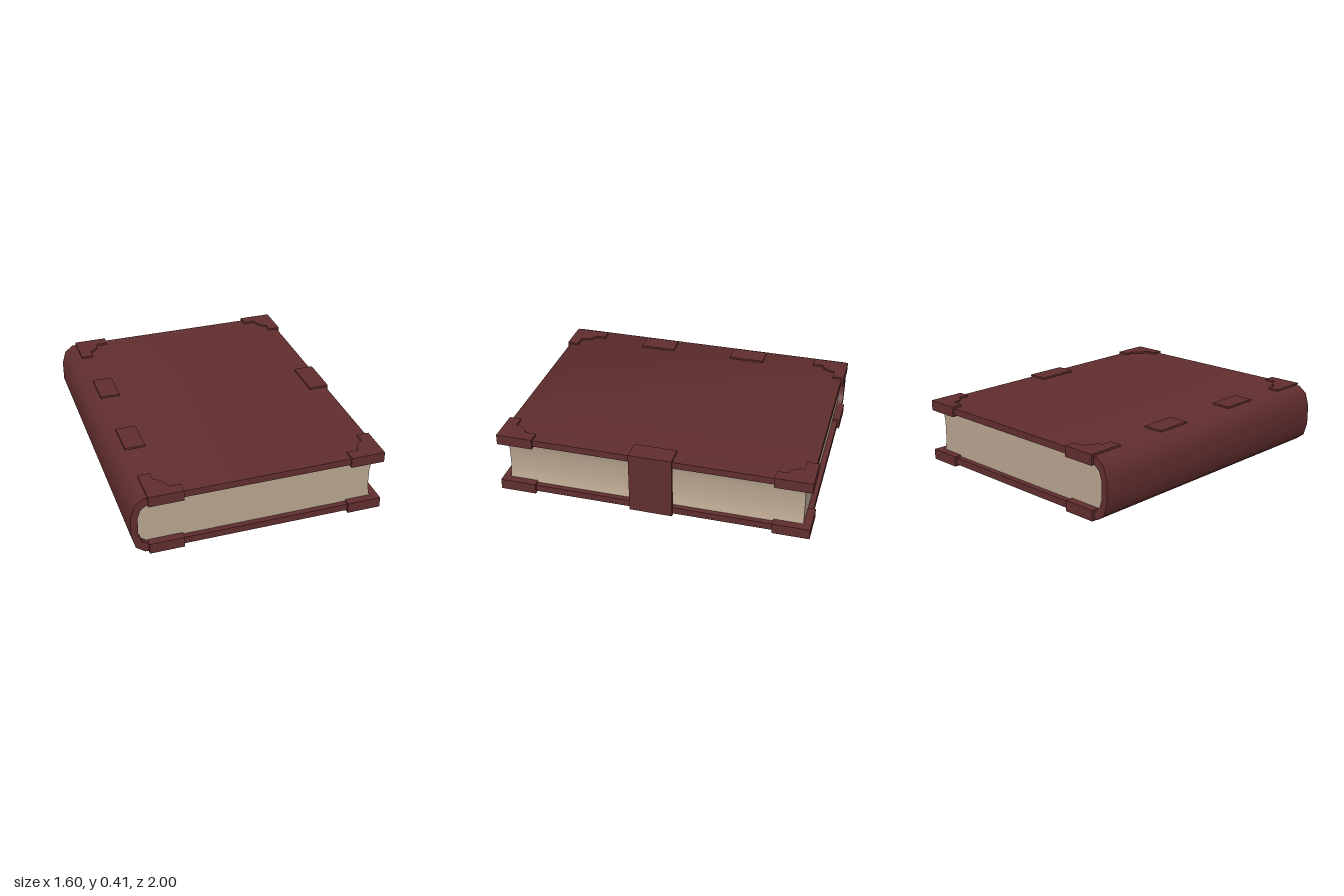
import * as THREE from 'three';
import { toCreasedNormals } from 'three/addons/utils/BufferGeometryUtils.js';

const MID = 0.204; // half of the book's thickness

// Extrude a closed outline along z, centred, with smooth curves and sharp edges
function extrude(points, depth) {
  const shape = new THREE.Shape(points.map(([x, y]) => new THREE.Vector2(x, y)));
  const geometry = new THREE.ExtrudeGeometry(shape, { depth, bevelEnabled: false });
  geometry.translate(0, 0, -depth / 2);
  return toCreasedNormals(geometry, 0.75);
}

// Complete an upper half outline with its mirror image across the middle height
function mirrored(half) {
  const upper = half.map(([x, y]) => [x, MID + y]);
  const lower = half.map(([x, y]) => [x, MID - y]).reverse();
  return [...upper, ...lower];
}

export function createModel() {
  const book = new THREE.Group();
  book.name = 'book';
  const leather = new THREE.MeshStandardMaterial({ color: 0x602d2d });
  leather.name = 'dark red leather';
  const paper = new THREE.MeshStandardMaterial({ color: 0xb8a48f });
  paper.name = 'aged paper';

  function add(name, geometry, material = leather) {
    const mesh = new THREE.Mesh(geometry, material);
    mesh.name = name;
    book.add(mesh);
    return mesh;
  }

  // Cover: two boards joined by a rounded spine, open at the fore edge
  const outer = [[0.785, 0.192], [-0.72, 0.192], [-0.775, 0.15], [-0.8, 0.066]];
  const inner = [[0.785, 0.148], [-0.69, 0.148], [-0.738, 0.114], [-0.757, 0.06]];
  add('cover', extrude([...mirrored(outer), ...mirrored(inner).reverse()], 1.97));

  // Pages: rounded at the spine, hollowed at the fore edge
  const pageHalf = [[0.732, 0.06], [0.742, 0.115], [0.752, 0.147],
    [-0.688, 0.147], [-0.736, 0.113], [-0.756, 0.06]];
  add('pages', extrude(mirrored(pageHalf), 1.9), paper);

  // Corner guards: ornamental L shapes around all eight board corners
  const guardOutline = [[0, 0], [0.218, 0], [0.218, 0.075], [0.142, 0.075],
    [0.138, 0.105], [0.12, 0.136], [0.1, 0.158], [0.077, 0.165],
    [0.077, 0.234], [0, 0.234]];
  for (const y of [0.034, 0.374]) {
    for (const [edgeX, inward] of [[0.8, -1], [-0.695, 1]]) {
      for (const side of [-1, 1]) {
        const outline = guardOutline.map(([x, z]) => [edgeX + inward * x, -side * (1 - z)]);
        const guard = extrude(outline, 0.068);
        guard.rotateX(-Math.PI / 2);
        add('cornerGuard', guard).position.y = y;
      }
    }
  }

  // Hinge plates beside the spine, on both boards
  for (const y of [0.01, 0.398]) {
    for (const z of [-0.302, 0.348]) {
      add('hingePlate', new THREE.BoxGeometry(0.13, 0.02, 0.235)).position.set(-0.63, y, z);
    }
  }

  // Clasp: a strap folded over the fore edge
  const claspOuter = [[0.67, 0.204], [0.8, 0.204]];
  const strap = [
    ...claspOuter.map(([x, y]) => [x, MID + y]),
    [0.8, 0], [0.67, 0], [0.67, 0.014], [0.775, 0.014],
    [0.775, 0.394], [0.67, 0.394],
  ];
  add('clasp', extrude(strap, 0.276));

  return book;
}
